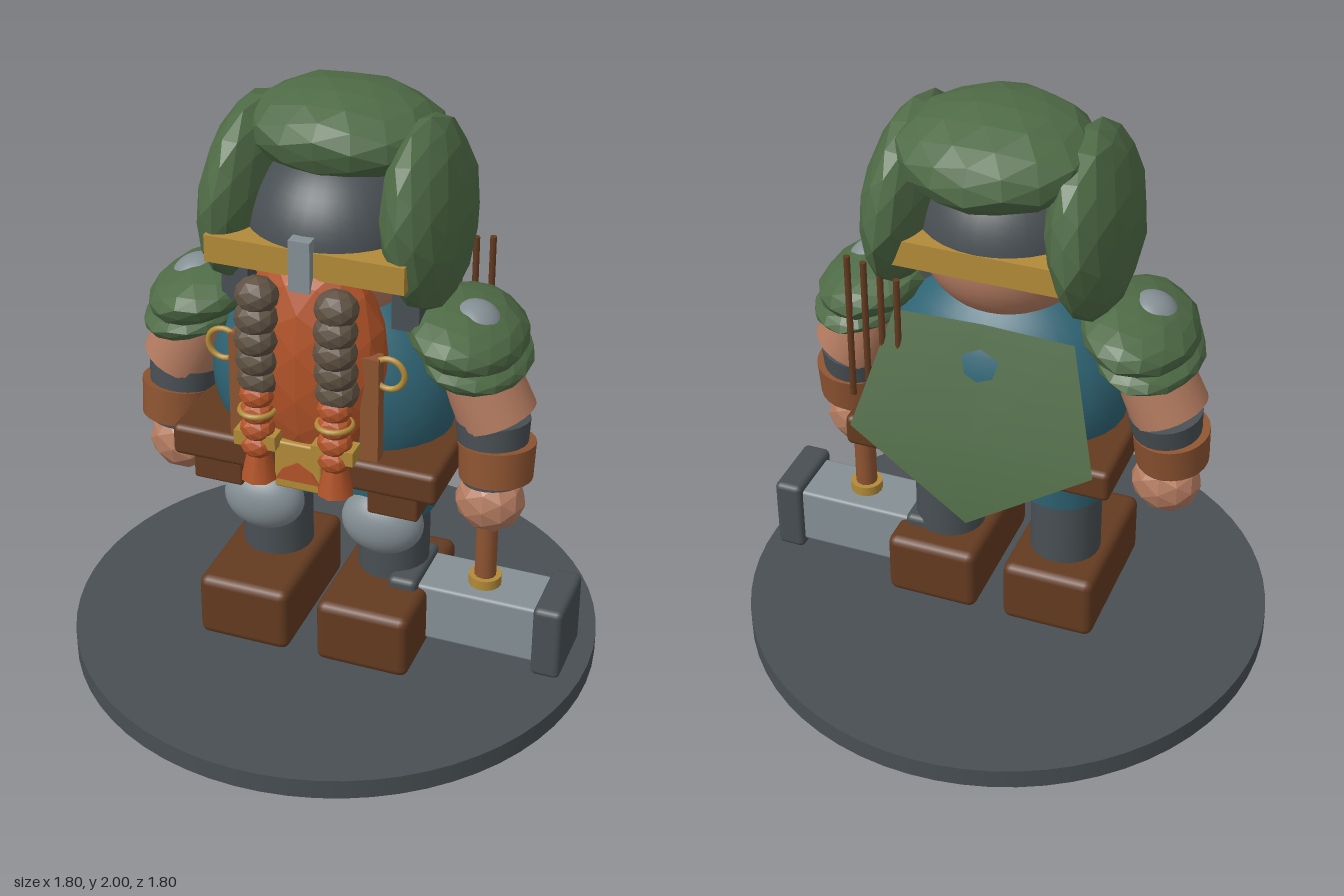
import * as THREE from 'three';
import { RoundedBoxGeometry } from 'three/addons/geometries/RoundedBoxGeometry.js';

const mat = (name, color, side = THREE.FrontSide) =>
  Object.assign(new THREE.MeshStandardMaterial({ color, side }), { name });

export function createModel() {
  const model = new THREE.Group();
  model.name = 'hammerWarrior';
  const M = {
    green: mat('mossGreen', 0x4f6b46, THREE.DoubleSide),
    dark: mat('darkIron', 0x484f53),
    steel: mat('paleSteel', 0x848f94),
    brown: mat('darkLeather', 0x633a20),
    leather: mat('lightLeather', 0x8e5431),
    skin: mat('skin', 0xb57c61),
    gold: mat('gold', 0xb28a38),
    orange: mat('orangeHair', 0xb25328),
    teal: mat('tealCloth', 0x2f6474),
    braid: mat('brownHair', 0x5f5142),
  };

  // Helpers: every part is placed by its centre
  const add = (name, geo, m, p, rot = [0, 0, 0]) => {
    const mesh = new THREE.Mesh(geo, m);
    mesh.name = name;
    mesh.position.set(...p);
    mesh.rotation.set(...rot);
    model.add(mesh);
    return mesh;
  };
  const box = (name, m, size, p, r = 0, rot) =>
    add(name, r ? new RoundedBoxGeometry(...size, 2, r) : new THREE.BoxGeometry(...size), m, p, rot);
  const cyl = (name, m, rTop, rBottom, h, p, rot, sides = 24) =>
    add(name, new THREE.CylinderGeometry(rTop, rBottom, h, sides), m, p, rot);
  const ball = (name, m, radii, p, rot) =>
    add(name, new THREE.SphereGeometry(1, 32, 20).scale(...radii), m, p, rot);
  // Faceted lump with a slightly uneven surface
  const lump = (name, m, radii, p, detail = 2, rough = 0, rot) => {
    const g = new THREE.IcosahedronGeometry(1, detail);
    const a = g.attributes.position;
    const v = new THREE.Vector3();
    for (let i = 0; i < a.count; i++) {
      v.fromBufferAttribute(a, i);
      v.multiplyScalar(1 + rough * Math.sin(v.x * 7 + 1) * Math.cos(v.y * 6 + v.z * 5));
      a.setXYZ(i, v.x, v.y, v.z);
    }
    g.scale(...radii);
    g.computeVertexNormals();
    return add(name, g, m, p, rot);
  };

  // Base
  cyl('base', M.dark, 0.9, 0.9, 0.07, [0, 0.035, 0], undefined, 64);

  // Torso, belt and buckle
  ball('torso', M.teal, [0.42, 0.385, 0.29], [0, 1.02, 0]);
  box('belt', M.brown, [0.9, 0.11, 0.62], [0, 0.84, 0], 0.02);
  box('buckle', M.gold, [0.16, 0.17, 0.05], [0, 0.85, 0.315], 0.008);
  const crest = new THREE.Shape([[-0.075, 0.8], [0.075, 0.8], [0.05, 0.84], [0, 0.87], [-0.05, 0.84]]
    .map(([x, y]) => new THREE.Vector2(x, y)));
  add('buckleInlay', new THREE.ExtrudeGeometry(crest, { depth: 0.006, bevelEnabled: false }),
    M.orange, [0, 0, 0.34]);

  // Head, helmet and beard
  ball('head', M.skin, [0.28, 0.25, 0.26], [0, 1.5, 0]);
  add('helmet', new THREE.SphereGeometry(0.285, 32, 14, 0, Math.PI * 2, 0, Math.PI / 2),
    M.dark, [0, 1.55, 0]);
  box('browBand', M.gold, [0.65, 0.09, 0.57], [0, 1.54, 0]);
  box('noseGuard', M.steel, [0.07, 0.17, 0.05], [0, 1.545, 0.29]);
  lump('beard', M.orange, [0.25, 0.4, 0.16], [0, 1.18, 0.2], 2);
  lump('crownFoliage', M.green, [0.32, 0.15, 0.29], [0, 1.85, -0.085], 2, 0.03, [-0.08, 0, 0]);

  // Cape
  const cape = new THREE.BufferGeometry();
  cape.setAttribute('position', new THREE.Float32BufferAttribute([
    -0.3, 1.29, -0.22, 0, 1.3, -0.22, 0.3, 1.29, -0.22,
    -0.41, 0.9, -0.35, 0, 0.92, -0.345, 0.41, 0.9, -0.35, 0, 0.64, -0.387], 3));
  cape.setIndex([0, 1, 4, 0, 4, 3, 1, 2, 5, 1, 5, 4, 3, 4, 6, 4, 5, 6]);
  cape.computeVertexNormals();
  add('cape', cape, M.green, [0, 0, 0]);

  // Mirrored parts
  for (const s of [-1, 1]) {
    // Legs
    box('boot', M.brown, [0.32, 0.23, 0.53], [s * 0.21, 0.215, 0.065], 0.03);
    cyl('shin', M.dark, 0.12, 0.12, 0.36, [s * 0.21, 0.47, 0]);
    cyl('thigh', M.teal, 0.17, 0.15, 0.24, [s * 0.2, 0.7, 0]);
    ball('kneeGuard', M.steel, [0.14, 0.115, 0.09], [s * 0.21, 0.565, 0.12]);
    box('pouch', M.brown, [0.17, 0.12, 0.14], [s * 0.3, 0.76, 0.22], 0.01);
    box('chestStrap', M.leather, [0.06, 0.48, 0.05], [s * 0.22, 1.02, 0.265]);

    // Head sides
    lump('sideFoliage', M.green, [0.125, 0.31, 0.315], [s * 0.3, 1.63, -0.03], 2, 0.03, [0, 0, s * 0.1]);
    box('cheekGuard', M.dark, [0.09, 0.22, 0.2], [s * 0.285, 1.41, 0.05]);
    add('earring', new THREE.TorusGeometry(0.052, 0.01, 8, 24), M.gold, [s * 0.275, 1.21, 0.27]);

    // Braid: dark lumps above, orange lumps and ties below
    for (let i = 0; i < 5; i++)
      lump('upperBraid', M.braid, [0.072, 0.062, 0.066],
        [s * 0.13, 1.44 - i * 0.072, 0.335 + 0.012 * Math.sin(i * 0.9)], 1);
    for (let i = 0; i < 4; i++)
      lump('lowerBraid', M.orange, [0.058, 0.048, 0.052], [s * 0.13, 1.1 - i * 0.06, 0.35], 1);
    add('braidRing', new THREE.TorusGeometry(0.054, 0.01, 8, 20), M.gold,
      [s * 0.13, 1.045, 0.35], [Math.PI / 2, 0, 0]);
    box('braidClasp', M.gold, [0.14, 0.05, 0.07], [s * 0.13, 0.945, 0.345]);
    cyl('braidTuft', M.orange, 0.03, 0.06, 0.13, [s * 0.13, 0.86, 0.345], undefined, 8);

    // Shoulder and arm
    lump('upperShoulder', M.green, [0.19, 0.095, 0.255], [s * 0.445, 1.265, 0], 2, 0.03, [0, 0, -s * 0.22]);
    lump('lowerShoulder', M.green, [0.17, 0.065, 0.25], [s * 0.48, 1.185, 0], 2, 0.03, [0, 0, -s * 0.12]);
    ball('shoulderStone', M.steel, [0.09, 0.08, 0.1], [s * 0.47, 1.29, 0.02], [0, 0, -s * 0.25]);
    cyl('upperArm', M.skin, 0.12, 0.13, 0.28, [s * 0.495, 1.1, 0], [0, 0, s * 0.42]);
    cyl('forearm', M.dark, 0.122, 0.1, 0.22, [s * 0.545, 0.855, 0.015], [-0.12, 0, s * 0.08]);
    cyl('bracer', M.leather, 0.128, 0.12, 0.125, [s * 0.558, 0.828, 0.02], [-0.12, 0, s * 0.05]);
    lump('hand', M.skin, [0.118, 0.11, 0.1], [s * 0.545, 0.67, 0.025], 1);

    // Hammer end plates
    box('hammerPlate', M.dark, [0.1, 0.265, 0.26], [0.54 + s * 0.25, 0.233, 0.025], 0.02);
  }

  // Hammer
  cyl('hammerHandle', M.leather, 0.037, 0.037, 0.42, [0.54, 0.55, 0.025], undefined, 12);
  cyl('hammerCollar', M.gold, 0.055, 0.055, 0.04, [0.54, 0.355, 0.025], undefined, 16);
  box('hammerHead', M.steel, [0.46, 0.21, 0.21], [0.54, 0.235, 0.02], 0.012);

  // Quiver rods behind the left shoulder
  [1.47, 1.46, 1.44, 1.42].forEach((top, i) =>
    cyl('backRod', M.brown, 0.011, 0.011, top - 0.95, [0.44 - i * 0.055, (top + 0.95) / 2, -0.25], undefined, 8));

  return model;
}
